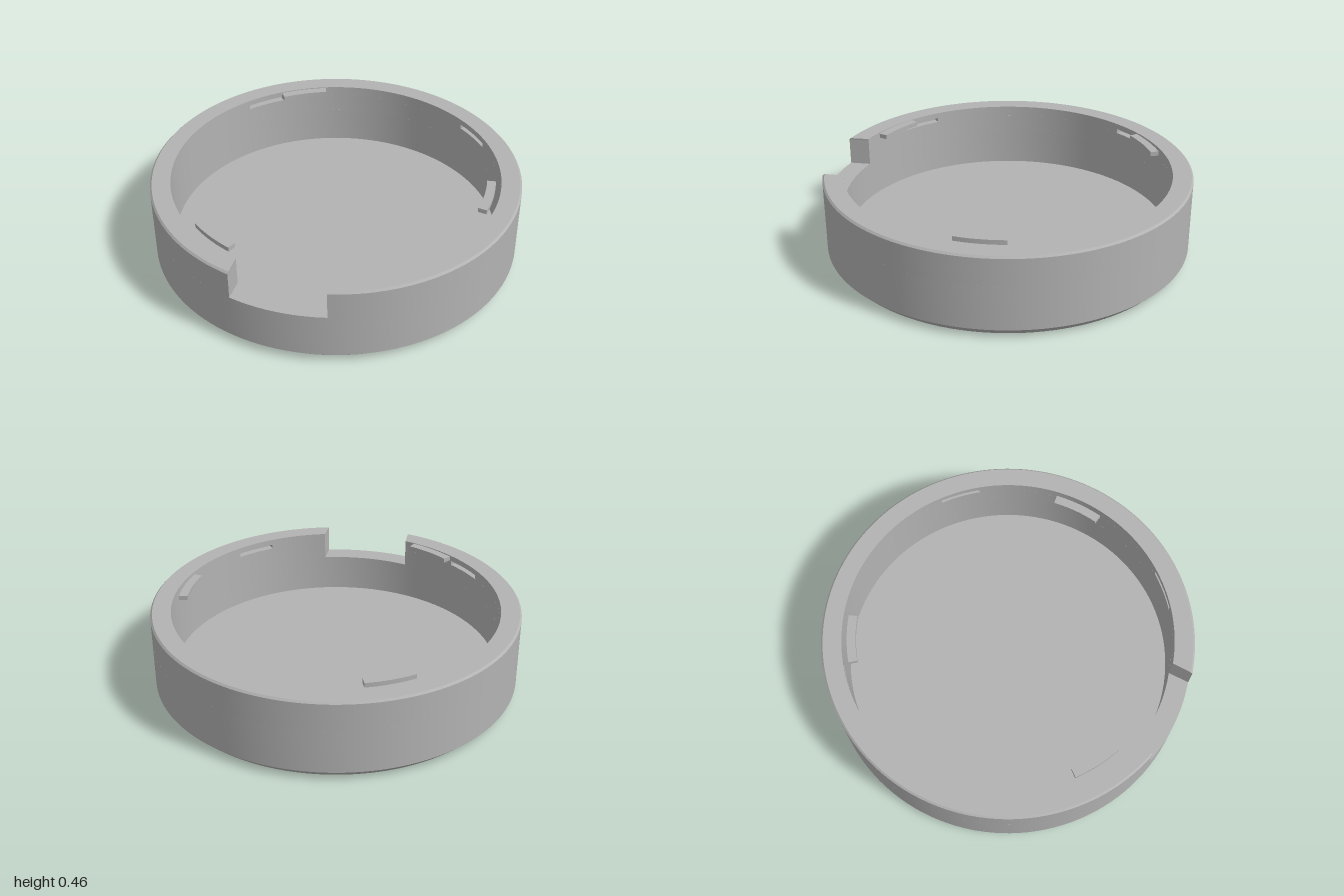
import * as THREE from 'three';
import { toCreasedNormals } from 'three/addons/utils/BufferGeometryUtils.js';

const OUTER = 1, INNER = 0.89, SLOT_R = 0.93;
const NOTCH_HALF = 0.25, NOTCH_Y = 0.29, RIM_Y = 0.447;
const rad = THREE.MathUtils.degToRad;

// Ring outline, open at the notch (+z), optionally with slots cut into the inner side
function wallShape(slotted) {
  const ao = Math.asin(NOTCH_HALF / OUTER), ai = Math.asin(NOTCH_HALF / INNER);
  const shape = new THREE.Shape();
  shape.absarc(0, 0, OUTER, -Math.PI / 2 + ao, 1.5 * Math.PI - ao, false);
  let angle = 1.5 * Math.PI - ai;
  const half = rad(7.2);
  for (const deg of slotted ? [225, 135, 45, -45] : []) {
    const c = rad(deg);
    shape.absarc(0, 0, INNER, angle, c + half, true);
    shape.absarc(0, 0, SLOT_R, c + half, c - half, true);
    angle = c - half;
  }
  shape.absarc(0, 0, INNER, angle, -Math.PI / 2 + ai, true);
  return shape;
}

// Stand a flat outline up between two heights
function slab(shape, y0, y1, curveSegments) {
  const g = new THREE.ExtrudeGeometry(shape, { depth: y1 - y0, bevelEnabled: false, curveSegments });
  return g.rotateX(-Math.PI / 2).translate(0, y0, 0);
}

export function createModel() {
  const group = new THREE.Group();
  const grey = new THREE.MeshStandardMaterial({ color: 0xb3b3b3 });
  grey.name = 'grey';
  const add = (name, geometry) => {
    const mesh = new THREE.Mesh(toCreasedNormals(geometry, 0.4), grey);
    mesh.name = name;
    group.add(mesh);
  };

  // Dish: floor, bottom chamfer and the wall below the notch
  const profile = [
    [0, 0], [0.955, 0], [OUTER, 0.045], [OUTER, NOTCH_Y],
    [INNER, NOTCH_Y], [INNER, 0.08], [0, 0.08],
  ].map(([x, y]) => new THREE.Vector2(x, y));
  add('dish', new THREE.LatheGeometry(profile, 128));

  // Notched upper wall, with a slotted band near the top
  add('lowerWall', slab(wallShape(false), NOTCH_Y, 0.39, 64));
  add('slottedWall', slab(wallShape(true), 0.39, 0.415, 64));
  add('upperWall', slab(wallShape(false), 0.415, RIM_Y - 0.01, 64));

  // Rim with a small outer chamfer
  const rim = slab(wallShape(false), RIM_Y - 0.01, RIM_Y, 64);
  const p = rim.attributes.position;
  for (let i = 0; i < p.count; i++) {
    const x = p.getX(i), z = p.getZ(i);
    if (p.getY(i) > RIM_Y - 0.005 && Math.hypot(x, z) > 0.97) {
      p.setX(i, x * 0.99);
      p.setZ(i, z * 0.99);
    }
  }
  add('rim', rim);

  // Three curved locking tabs just inside the rim
  for (const deg of [0, 120, 240]) {
    const a = rad(deg - 9), b = rad(deg + 9);
    const tab = new THREE.Shape();
    tab.absarc(0, 0, 0.86, a, b, false);
    tab.absarc(0, 0, 0.813, b, a, true);
    add('lockingTab', slab(tab, 0.435, 0.46, 8));
  }
  return group;
}
